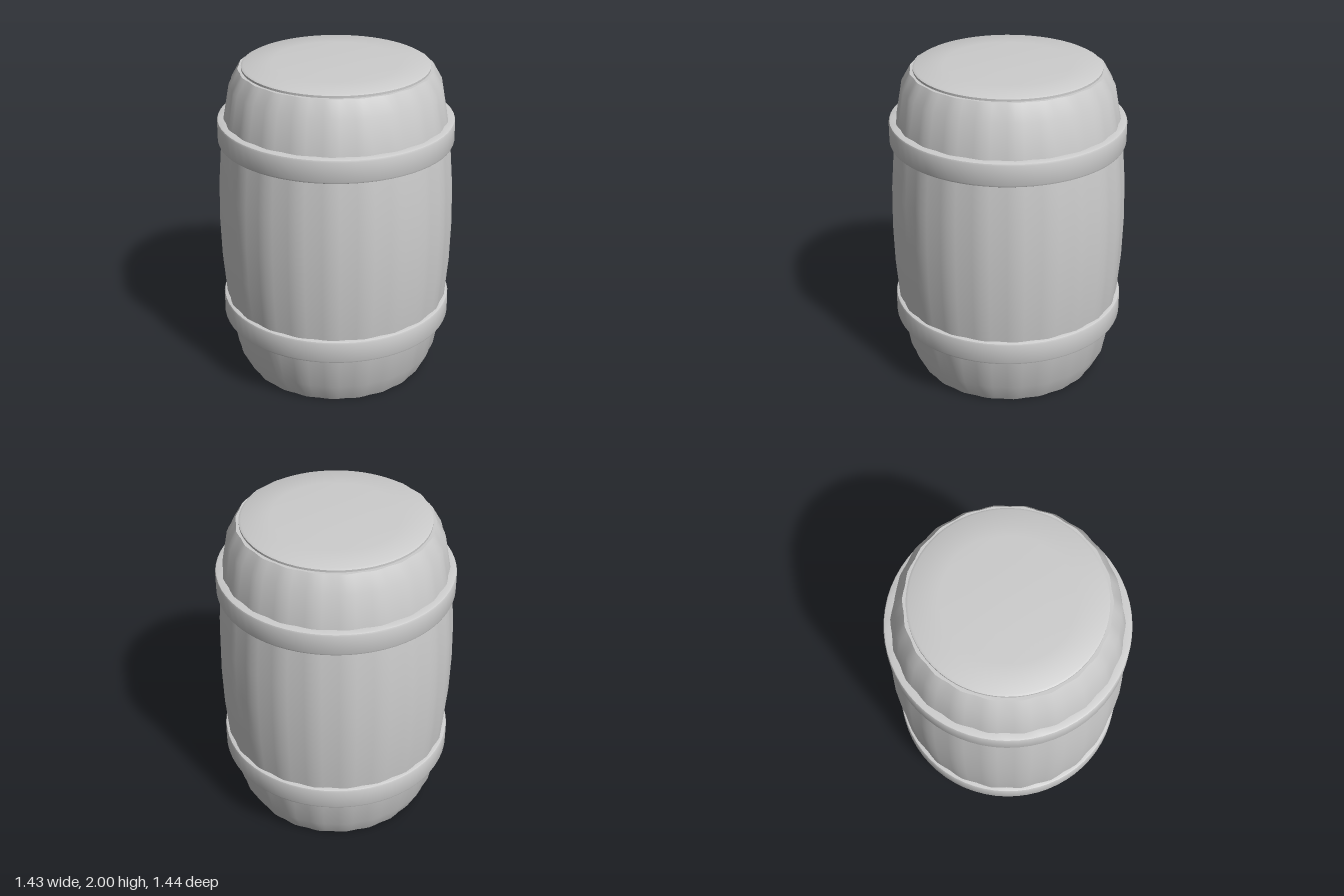
import * as THREE from 'three';
import { toCreasedNormals } from 'three/addons/utils/BufferGeometryUtils.js';

const STAVES = 22;

// Revolve a profile of [radius, height] points, smooth except at sharp edges.
// wave is the relative depth of the scallops between staves.
function revolve(name, points, segments, material, wave = 0) {
  const geometry = new THREE.LatheGeometry(points.map(([r, y]) => new THREE.Vector2(r, y)), segments);
  const p = geometry.attributes.position;
  for (let i = 0; i < p.count; i++) {
    const angle = Math.atan2(p.getX(i), p.getZ(i));
    const k = 1 + wave * Math.cos(STAVES * angle);
    p.setX(i, p.getX(i) * k);
    p.setZ(i, p.getZ(i) * k);
  }
  const mesh = new THREE.Mesh(toCreasedNormals(geometry, 0.7), material);
  mesh.name = name;
  return mesh;
}

export function createModel() {
  const grey = new THREE.MeshStandardMaterial({ color: 0xcccccc });
  grey.name = 'plain grey';
  const barrel = new THREE.Group();
  barrel.name = 'barrel';

  // Bulging staves, closed at both ends
  const staves = [
    [0, 0], [0.567, 0], [0.632, 0.13], [0.67, 0.35], [0.69, 0.5], [0.71, 0.75], [0.716, 1],
    [0.71, 1.25], [0.69, 1.5], [0.67, 1.66], [0.632, 1.87], [0.578, 1.965], [0, 1.965],
  ];
  barrel.add(revolve('staves', staves, STAVES * 4, grey, 0.007));

  // Slightly domed round lid with a bevelled rim
  const lid = [[0.56, 1.96], [0.56, 1.978], [0.547, 1.985], [0.38, 1.992], [0.2, 1.998], [0, 2]];
  barrel.add(revolve('lid', lid, 64, grey));

  // Two hoops with softened edges
  for (const [name, y] of [['lowerHoop', 0.35], ['upperHoop', 1.515]]) {
    const h = 0.145;
    const hoop = [
      [0.64, y], [0.702, y], [0.71, y + 0.004], [0.714, y + 0.014],
      [0.714, y + h - 0.014], [0.71, y + h - 0.004], [0.702, y + h], [0.64, y + h],
    ];
    barrel.add(revolve(name, hoop, 64, grey));
  }
  return barrel;
}
